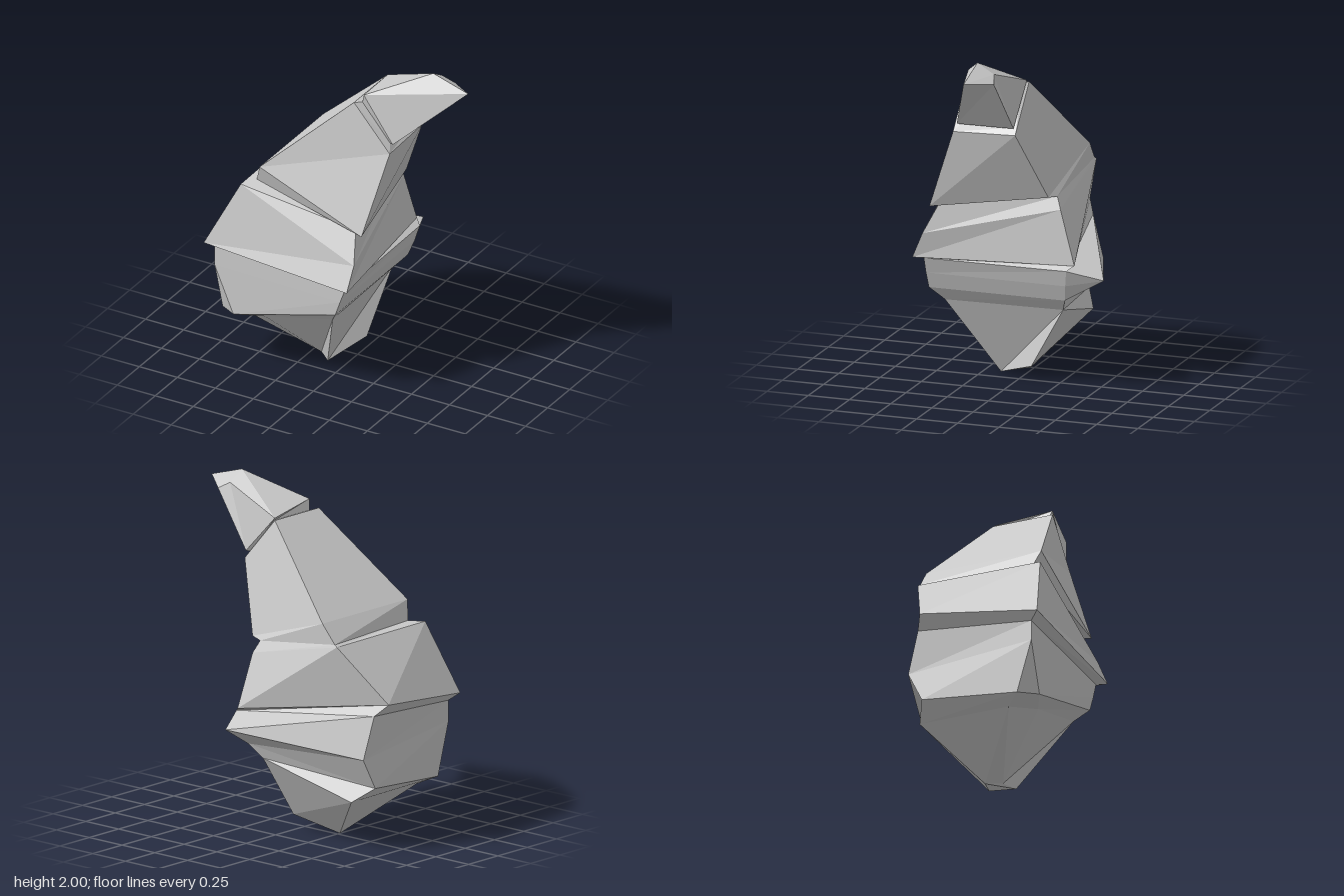
import * as THREE from 'three';

const material = new THREE.MeshStandardMaterial({ color: 0xcccccc, flatShading: true });

// Ring corners: left front, right front, right side, right back, back ridge, left back.
const hex = (...p) => p;
// Four-sided ring whose split corners coincide.
const quad = (fl, fr, br, bl) => [fl, fr, fr, br, bl, bl];

// Lofts rings from bottom to top, closing the ends on request.
function loft(name, rings, { bottom = false, top = false } = {}) {
  const pos = [];
  const same = (a, b) => a.every((v, k) => v === b[k]);
  const tri = (a, b, c) => {
    if (!same(a, b) && !same(b, c) && !same(c, a)) pos.push(...a, ...b, ...c);
  };
  for (let r = 0; r + 1 < rings.length; r++) {
    const lo = rings[r], up = rings[r + 1], n = lo.length;
    for (let i = 0; i < n; i++) {
      const j = (i + 1) % n;
      tri(lo[j], lo[i], up[i]);
      tri(lo[j], up[i], up[j]);
    }
  }
  const cap = (ring, flip) => {
    for (let i = 1; i + 1 < ring.length; i++) {
      if (flip) tri(ring[0], ring[i], ring[i + 1]);
      else tri(ring[0], ring[i + 1], ring[i]);
    }
  };
  if (bottom) cap(rings[0], true);
  if (top) cap(rings[rings.length - 1], false);
  const geometry = new THREE.BufferGeometry();
  geometry.setAttribute('position', new THREE.Float32BufferAttribute(pos, 3));
  geometry.computeVertexNormals();
  const mesh = new THREE.Mesh(geometry, material);
  mesh.name = name;
  return mesh;
}

export function createModel() {
  // Pointed root
  const root = hex([-.11, 0, .15], [-.18, .015, .1], [-.18, .015, .1], [-.25, 0, .02], [.015, .085, -.08], [.015, .085, -.08]);
  const rootTop = hex([.08, .45, .42], [-.37, .34, .41], [-.57, .29, .32], [-.57, .29, -.24], [.06, .45, -.29], [.06, .45, -.29]);
  // Lower segment with a spur on its back corner
  const lowerBase = hex([.14, .53, .495], [-.53, .35, .495], [-.65, .33, .41], [-.69, .38, -.17], [.14, .53, -.33], [.14, .53, -.33]);
  const lowerSpur = hex([.175, .625, .5], [-.65, .64, .5], [-.65, .64, .5], [-.68, .56, -.26], [.11, .66, -.555], [.175, .625, -.345]);
  const lowerTop = quad([.21, .72, .5], [-.65, .76, .5], [-.7, .81, -.19], [.2, .72, -.36]);
  // Middle segment
  const middleBase = quad([.25, .73, .555], [-.69, .8, .555], [-.77, .88, -.145], [.16, .745, -.395]);
  const middleTop = quad([.26, .88, .49], [-.49, 1.2, .48], [-.5, 1.2, -.285], [.13, 1.06, -.3]);
  const middleInset = quad([.22, 1.06, .4], [-.43, 1.21, .4], [-.48, 1.21, -.28], [.1, 1.13, -.27]);
  // Upper segment
  const upperBase = quad([.28, 1.05, .44], [-.39, 1.32, .44], [-.39, 1.32, -.285], [.18, 1.14, -.245]);
  const upperTop = quad([.365, 1.53, .265], [.13, 1.8, .265], [.13, 1.8, -.11], [.36, 1.54, -.11]);
  const upperInset = quad([.34, 1.575, .22], [.16, 1.79, .22], [.16, 1.79, -.08], [.33, 1.575, -.08]);
  // Slanted tip
  const tipBase = quad([.37, 1.58, .24], [.18, 1.85, .24], [.14, 1.81, -.1], [.36, 1.58, -.1]);
  const tipEnd = quad([.76, 1.93, .055], [.53, 2, .055], [.53, 1.94, -.045], [.6, 1.9, -.07]);

  const group = new THREE.Group();
  group.name = 'segmentedHorn';
  group.add(
    loft('root', [root, rootTop, lowerBase], { bottom: true }),
    loft('lowerSegment', [lowerBase, lowerSpur, lowerTop, middleBase]),
    loft('middleSegment', [middleBase, middleTop, middleInset, upperBase]),
    loft('upperSegment', [upperBase, upperTop, upperInset, tipBase]),
    loft('tip', [tipBase, tipEnd], { top: true }),
  );
  return group;
}
